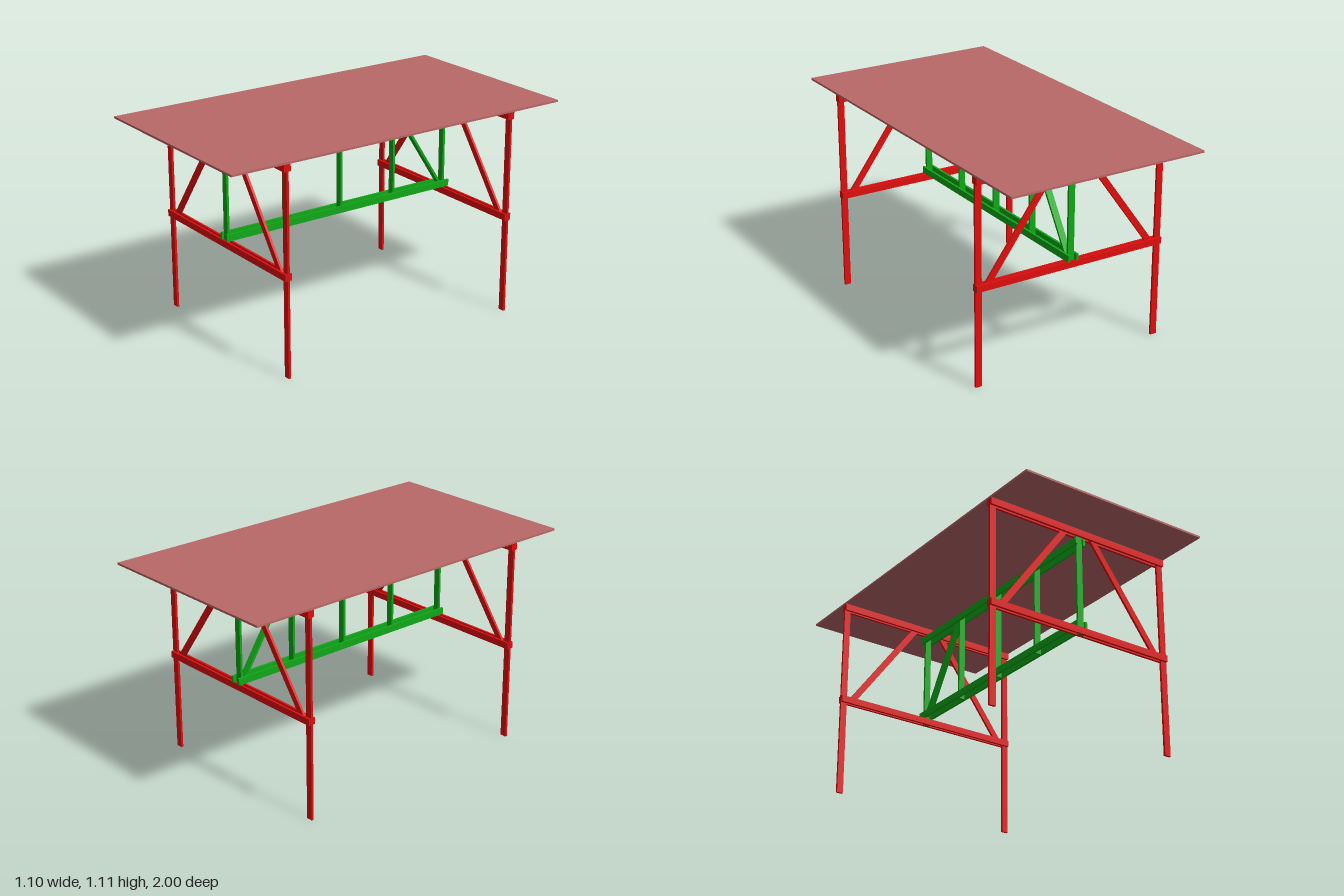
import * as THREE from 'three';

const RED = new THREE.MeshStandardMaterial({ color: 0xe00d0d });
const GREEN = new THREE.MeshStandardMaterial({ color: 0x10a818 });
const TOP = new THREE.MeshStandardMaterial({ color: 0xb96868 });

const T = 0.0125; // board thickness
const W = 0.035;  // board width

// Box given by its minimum and maximum on each axis
function board(name, material, [x0, x1], [y0, y1], [z0, z1]) {
  const mesh = new THREE.Mesh(new THREE.BoxGeometry(x1 - x0, y1 - y0, z1 - z0), material);
  mesh.position.set((x0 + x1) / 2, (y0 + y1) / 2, (z0 + z1) / 2);
  mesh.name = name;
  return mesh;
}

// Slanted board running from point a to point b, sized across x and z
function brace(name, material, a, b, sx, sz) {
  const dir = b.clone().sub(a);
  const mesh = new THREE.Mesh(new THREE.BoxGeometry(sx, dir.length(), sz), material);
  mesh.position.copy(a).lerp(b, 0.5);
  mesh.quaternion.setFromUnitVectors(new THREE.Vector3(0, 1, 0), dir.normalize());
  mesh.name = name;
  return mesh;
}

const around = (c, size) => [c - size / 2, c + size / 2];

// End frame: legs and braces sandwiched between paired cross rails
function trestle(name, z) {
  const g = new THREE.Group();
  g.name = name;
  g.position.z = z;
  for (const [s, side] of [[1, 'left'], [-1, 'right']]) {
    g.add(board(side + 'Leg', RED, around(s * 0.53, W), [0, 1.1], around(0, T)));
    g.add(brace(side + 'Brace', RED,
      new THREE.Vector3(s * 0.483, 0.532, 0), new THREE.Vector3(s * 0.081, 1.081, 0), 0.033, T));
  }
  for (const [s, face] of [[1, 'front'], [-1, 'back']]) {
    g.add(board(face + 'LowerRail', RED, [-0.547, 0.547], [0.514, 0.549], around(s * T, T)));
    g.add(board(face + 'UpperRail', RED, [-0.547, 0.547], [1.063, 1.1], around(s * T, T)));
  }
  return g;
}

// Lengthwise truss: paired stringers either side of upright posts
function truss(zFront, zBack) {
  const g = new THREE.Group();
  g.name = 'centreTruss';
  for (const [s, side] of [[1, 'left'], [-1, 'right']]) {
    const x = around(s * (W + T) / 2, T);
    g.add(board(side + 'LowerStringer', GREEN, x, [0.55, 0.586], [-0.709, 0.712]));
    g.add(board(side + 'UpperStringer', GREEN, x, [1.013, 1.049], [-0.709, 0.712]));
  }
  // End posts reach between the cross rails of the trestles
  for (const z of [zFront, zBack])
    g.add(board('endPost', GREEN, around(0, W), [0.514, 1.099], around(z, T)));
  for (const z of [0.342, 0, -0.342])
    g.add(board('post', GREEN, around(0, W), [0.55, 1.049], around(z, T)));
  g.add(brace('diagonal', GREEN,
    new THREE.Vector3(0, 0.56, -0.667), new THREE.Vector3(0, 1.04, -0.358), W, T));
  return g;
}

export function createModel() {
  const model = new THREE.Group();
  model.name = 'table';
  const zFront = 0.694, zBack = -0.682;
  model.add(
    board('tabletop', TOP, [-0.548, 0.548], [1.1, 1.111], [-1, 1]),
    trestle('frontTrestle', zFront),
    trestle('backTrestle', zBack),
    truss(zFront, zBack),
  );
  return model;
}
